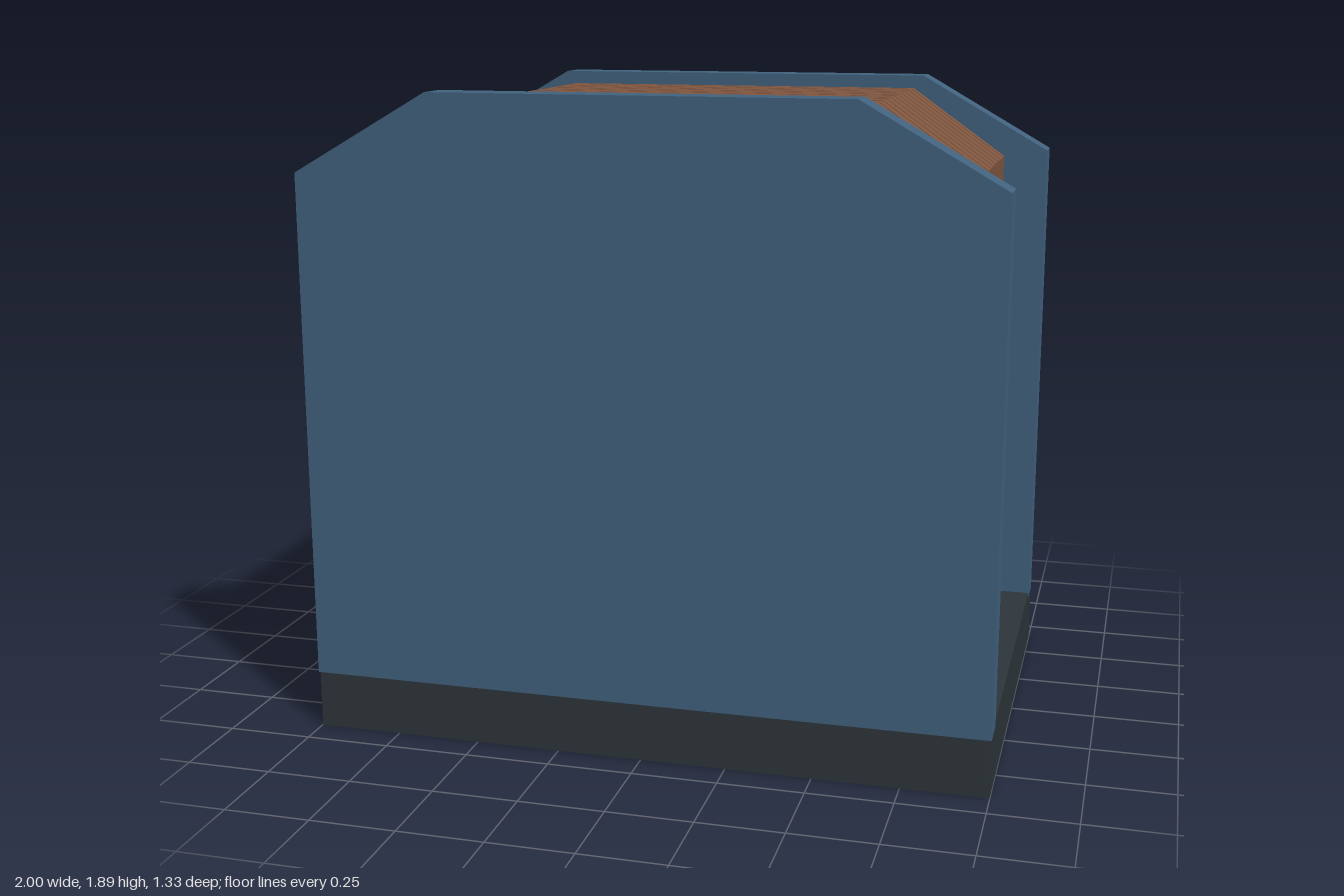
import * as THREE from 'three';

const material = (name, color) => {
  const m = new THREE.MeshStandardMaterial({ color });
  m.name = name;
  return m;
};

// Slab with sloped shoulders, extruded along z and centred on z = 0
function slab(halfWidth, bottom, shoulder, top, halfTop, depth) {
  const shape = new THREE.Shape([
    [-halfWidth, bottom], [halfWidth, bottom], [halfWidth, shoulder],
    [halfTop, top], [-halfTop, top], [-halfWidth, shoulder],
  ].map(([x, y]) => new THREE.Vector2(x, y)));
  return new THREE.ExtrudeGeometry(shape, { depth, bevelEnabled: false })
    .translate(0, 0, -depth / 2);
}

export function createModel() {
  const model = new THREE.Group();
  const blue = material('steel blue', 0x41627f);
  const brown = material('copper brown', 0x80563f);
  const dark = material('dark slate', 0x2d353b);

  const add = (name, geometry, mat, y = 0, z = 0) => {
    const mesh = new THREE.Mesh(geometry, mat);
    mesh.name = name;
    mesh.position.set(0, y, z);
    model.add(mesh);
  };

  // Plinth
  add('base', new THREE.BoxGeometry(1.998, 0.187, 1.31), dark, 0.0935);

  // End plates
  const plate = slab(1, 0.173, 1.665, 1.895, 0.6, 0.107);
  add('frontPlate', plate, blue, 0, 0.611);
  add('backPlate', plate, blue, 0, -0.611);

  // Core between the plates
  add('core', slab(0.78, 0.18, 1.56, 1.77, 0.57, 1.13), brown);

  // Row of laminations around the core
  const count = 16, pitch = 0.0727;
  const fin = slab(0.865, 0.18, 1.645, 1.855, 0.57, 0.06);
  for (let i = 0; i < count; i++) {
    add(`lamination${i + 1}`, fin, brown, 0, (i - (count - 1) / 2) * pitch);
  }
  return model;
}
